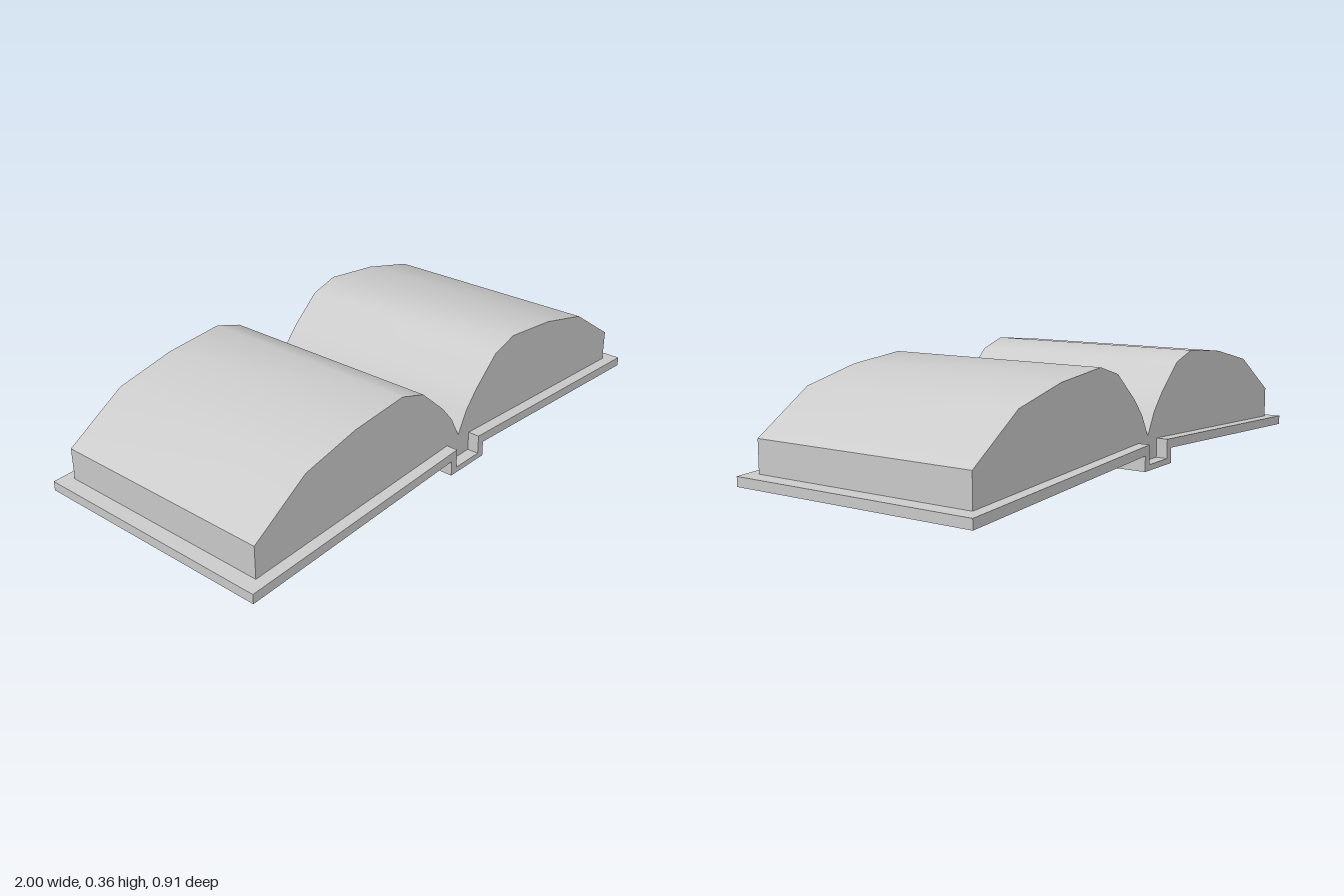
import * as THREE from 'three';
import { toCreasedNormals } from 'three/addons/utils/BufferGeometryUtils.js';

// Mirror a half profile (listed from the centre line outwards and round) across x = 0.
function mirroredShape(half) {
  const left = half.filter(([x]) => x > 0).reverse().map(([x, y]) => [-x, y]);
  return new THREE.Shape([...half, ...left].map(([x, y]) => new THREE.Vector2(x, y)));
}

function extrudedPart(name, shape, depth) {
  const geometry = new THREE.ExtrudeGeometry(shape, { depth, bevelEnabled: false });
  geometry.translate(0, 0, -depth / 2);
  const material = new THREE.MeshStandardMaterial({ color: 0xcccccc });
  const mesh = new THREE.Mesh(toCreasedNormals(geometry, 0.7), material);
  mesh.name = name;
  return mesh;
}

export function createModel() {
  const book = new THREE.Group();
  book.name = 'openBook';

  // Cover: two sloping boards joined by a stepped spine channel
  const cover = mirroredShape([
    [0.088, 0], [0.088, 0.053], [1, 0.005], [1, 0.038],
    [0.06, 0.086], [0.06, 0.02],
  ]);
  book.add(extrudedPart('cover', cover, 0.91));

  // Pages: two arched halves meeting in a valley, resting on the cover
  const pages = mirroredShape([
    [0.06, 0.02], [0.06, 0.086], [0.948, 0.0405], [0.948, 0.152],
    [0.735, 0.29], [0.52, 0.34], [0.3, 0.362], [0.197, 0.33],
    [0.09, 0.235], [0.04, 0.177], [0, 0.102],
  ]);
  book.add(extrudedPart('pages', pages, 0.828));

  return book;
}
